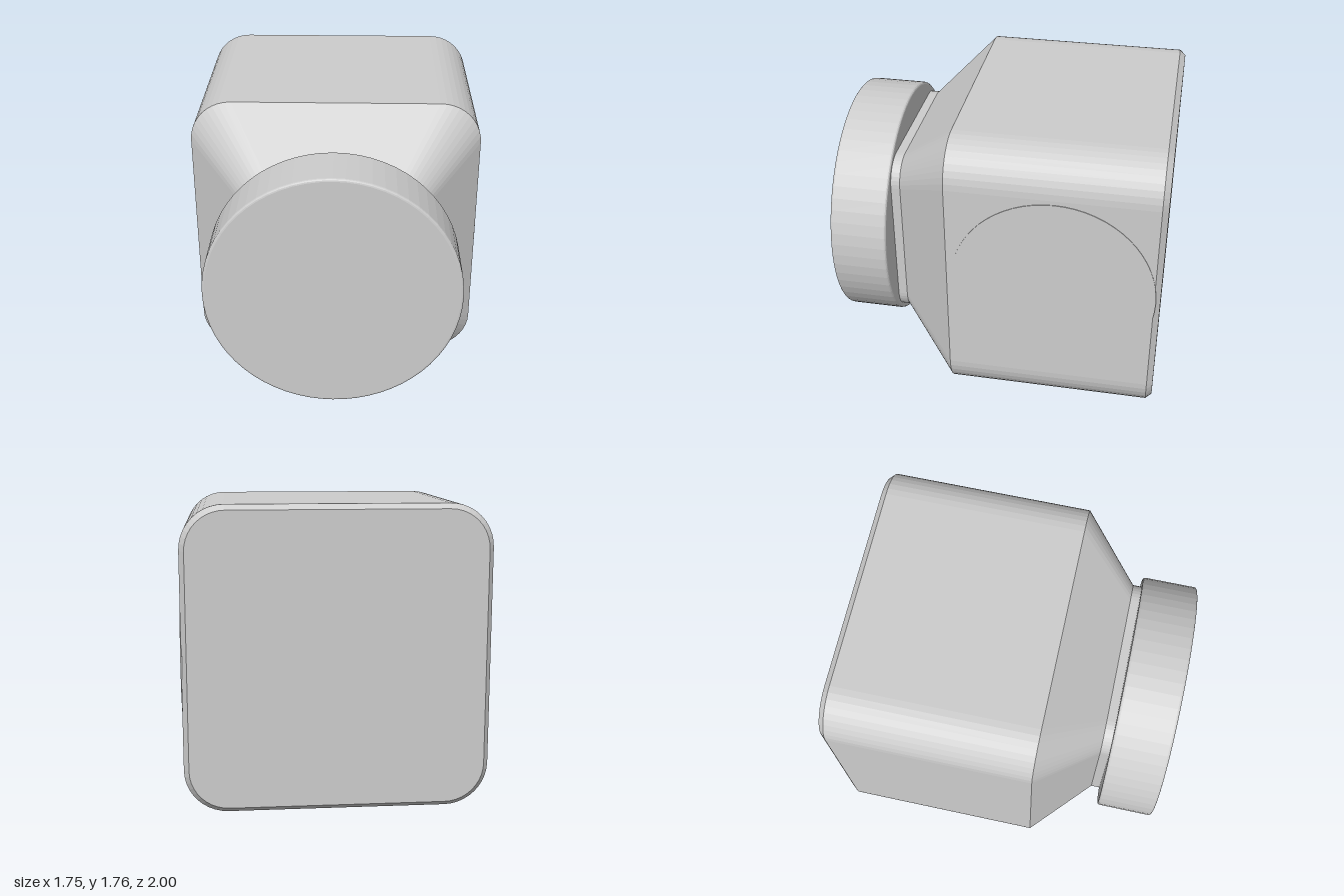
import * as THREE from 'three';

const CX = -0.004, CY = 0.883; // axis of the body and cap
const CORNER_STEPS = 10;

// outline of a rounded square, counter-clockwise seen from the front
function ring(half, r, z) {
  const pts = [];
  for (let q = 0; q < 4; q++) {
    const mid = Math.PI / 4 + q * Math.PI / 2;
    const cx = Math.sign(Math.cos(mid)) * (half - r);
    const cy = Math.sign(Math.sin(mid)) * (half - r);
    for (let i = 0; i <= CORNER_STEPS; i++) {
      const a = (q + i / CORNER_STEPS) * Math.PI / 2;
      pts.push([cx + r * Math.cos(a), cy + r * Math.sin(a), z]);
    }
  }
  return pts;
}

// faceted loft through rounded squares, from back to front, closed at both ends
function loft(sections) {
  const rings = sections.map(s => ring(...s));
  const n = rings[0].length, last = rings.length - 1;
  const pos = [];
  const tri = (a, b, c) => pos.push(...a, ...b, ...c);
  for (let k = 0; k < last; k++) {
    for (let i = 0; i < n; i++) {
      const j = (i + 1) % n;
      const a = rings[k][i], b = rings[k][j], c = rings[k + 1][j], d = rings[k + 1][i];
      tri(a, b, c);
      tri(a, c, d);
    }
  }
  for (let i = 0; i < n; i++) {
    const j = (i + 1) % n;
    tri([0, 0, sections[0][2]], rings[0][j], rings[0][i]);
    tri([0, 0, sections[last][2]], rings[last][i], rings[last][j]);
  }
  const g = new THREE.BufferGeometry();
  g.setAttribute('position', new THREE.Float32BufferAttribute(pos, 3));
  g.computeVertexNormals();
  return g;
}

export function createModel() {
  const group = new THREE.Group();
  const grey = new THREE.MeshStandardMaterial({ color: 0xcccccc });
  grey.name = 'plain grey';
  const add = (name, geometry, x, y, z) => {
    const mesh = new THREE.Mesh(geometry, grey);
    mesh.name = name;
    mesh.position.set(x, y, z);
    group.add(mesh);
  };

  // square jar: bevelled base, straight walls, tapered shoulder
  add('body', loft([
    [0.845, 0.225, -1],
    [0.875, 0.25, -0.965],
    [0.875, 0.25, 0.25],
    [0.555, 0.16, 0.6],
  ]), CX, CY, 0);

  // short straight neck
  add('neck', loft([[0.555, 0.16, 0.59], [0.555, 0.16, 0.67]]), CX, CY, 0);

  // round lid with softened rims
  const b = 0.015, R = 0.748, profile = [new THREE.Vector2(0, 0.655)];
  for (let i = 0; i <= 3; i++) {
    const a = (i / 3 - 1) * Math.PI / 2;
    profile.push(new THREE.Vector2(R - b + b * Math.cos(a), 0.655 + b + b * Math.sin(a)));
  }
  for (let i = 0; i <= 3; i++) {
    const a = i / 3 * Math.PI / 2;
    profile.push(new THREE.Vector2(R - b + b * Math.cos(a), 1 - b + b * Math.sin(a)));
  }
  profile.push(new THREE.Vector2(0, 1));
  const lid = new THREE.LatheGeometry(profile, 64).rotateX(Math.PI / 2).toNonIndexed();
  lid.computeVertexNormals();
  add('lid', lid, CX, CY, 0);

  // thin round label on the left wall
  add('sideLabel', new THREE.CylinderGeometry(0.6, 0.6, 0.009, 64).rotateZ(-Math.PI / 2),
    CX + 0.8745, CY, -0.375);

  // thin rectangular label underneath
  add('bottomLabel', new THREE.BoxGeometry(0.8, 0.009, 1.1), CX, 0.0045, -0.375);

  return group;
}
